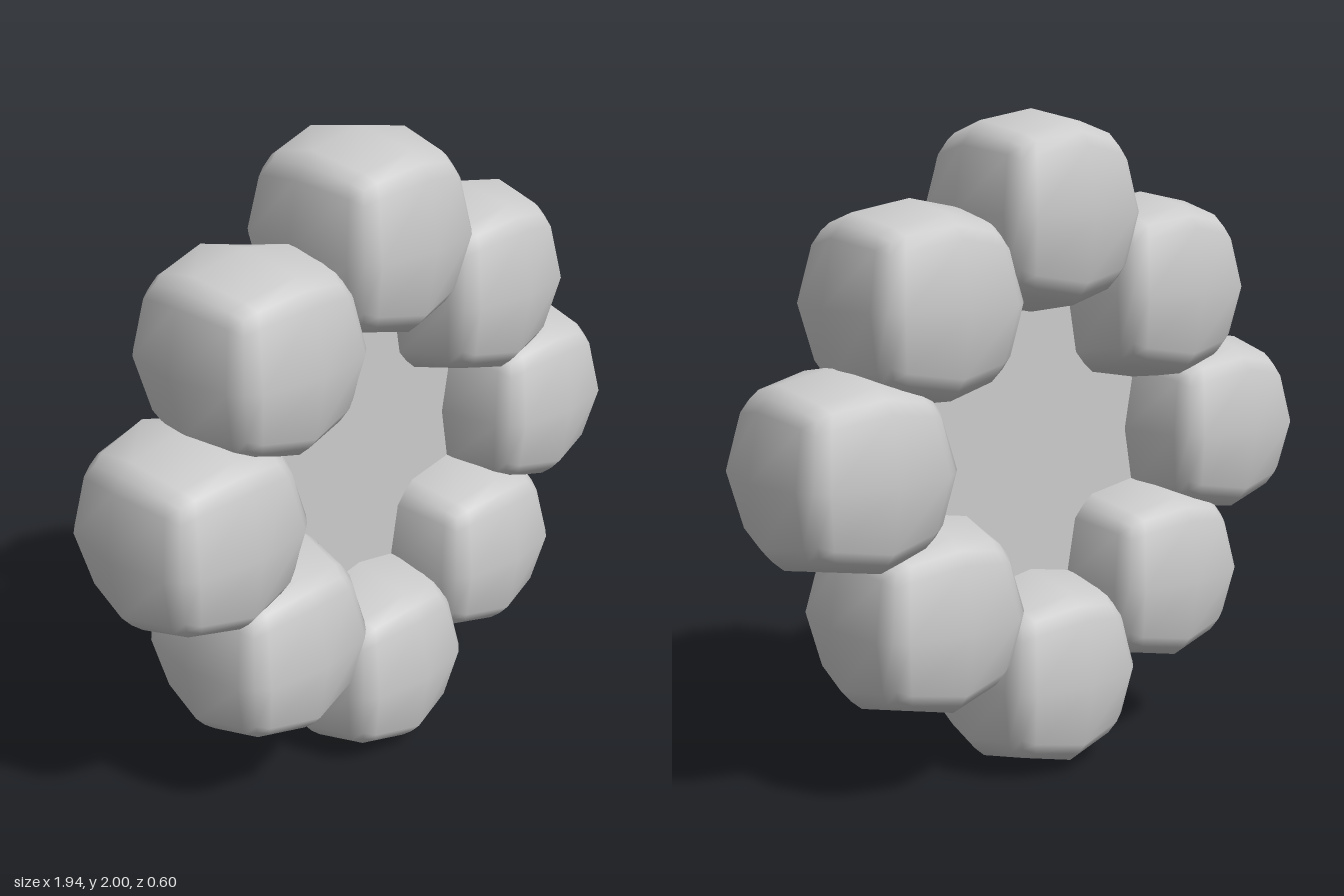
import * as THREE from 'three';
import { mergeVertices } from 'three/addons/utils/BufferGeometryUtils.js';

// Rounded cube-like ball: box grid pushed out to a sphere, slightly flat on its axes
function ballGeometry() {
  let g = new THREE.BoxGeometry(2, 2, 2, 4, 4, 4);
  g.deleteAttribute('uv');
  g.deleteAttribute('normal');
  g = mergeVertices(g);
  const p = g.attributes.position;
  const v = new THREE.Vector3();
  const spread = (c) => (Math.abs(Math.abs(c) - 0.5) < 0.01 ? Math.sign(c) * 0.736 : c);
  for (let i = 0; i < p.count; i++) {
    v.fromBufferAttribute(p, i);
    v.set(spread(v.x), spread(v.y), spread(v.z));
    const onAxis = v.length() < 1.01;
    v.setLength(onAxis ? 0.3 : 0.329);
    p.setXYZ(i, v.x, v.y, v.z);
  }
  g.computeVertexNormals();
  return g;
}

export function createModel() {
  const group = new THREE.Group();
  const grey = new THREE.MeshStandardMaterial({ color: 0xcccccc });
  const ball = ballGeometry();

  const addBall = (name, x, y, sx, sy, sz) => {
    const m = new THREE.Mesh(ball, grey);
    m.name = name;
    m.position.set(x, y, 0);
    m.scale.set(sx, sy, sz);
    group.add(m);
  };

  // Ring of eight balls
  for (const s of [1, -1]) {
    addBall(s > 0 ? 'topBall' : 'bottomBall', 0, 1 + 0.7 * s, 0.95, 1, 1);
    addBall(s > 0 ? 'leftBall' : 'rightBall', 0.675 * s, 1, 0.98, 0.98, 0.985);
    for (const t of [1, -1]) {
      const name = (t > 0 ? 'upper' : 'lower') + (s > 0 ? 'Left' : 'Right') + 'Ball';
      addBall(name, 0.435 * s, 1 + 0.455 * t, 0.975, 0.98, 0.98);
    }
  }

  // Flat sheet closing the middle of the ring
  const sheet = new THREE.Mesh(
    new THREE.CircleGeometry(0.62, 32),
    new THREE.MeshStandardMaterial({ color: 0xcccccc, side: THREE.DoubleSide })
  );
  sheet.name = 'centreSheet';
  sheet.position.y = 1;
  group.add(sheet);

  return group;
}
